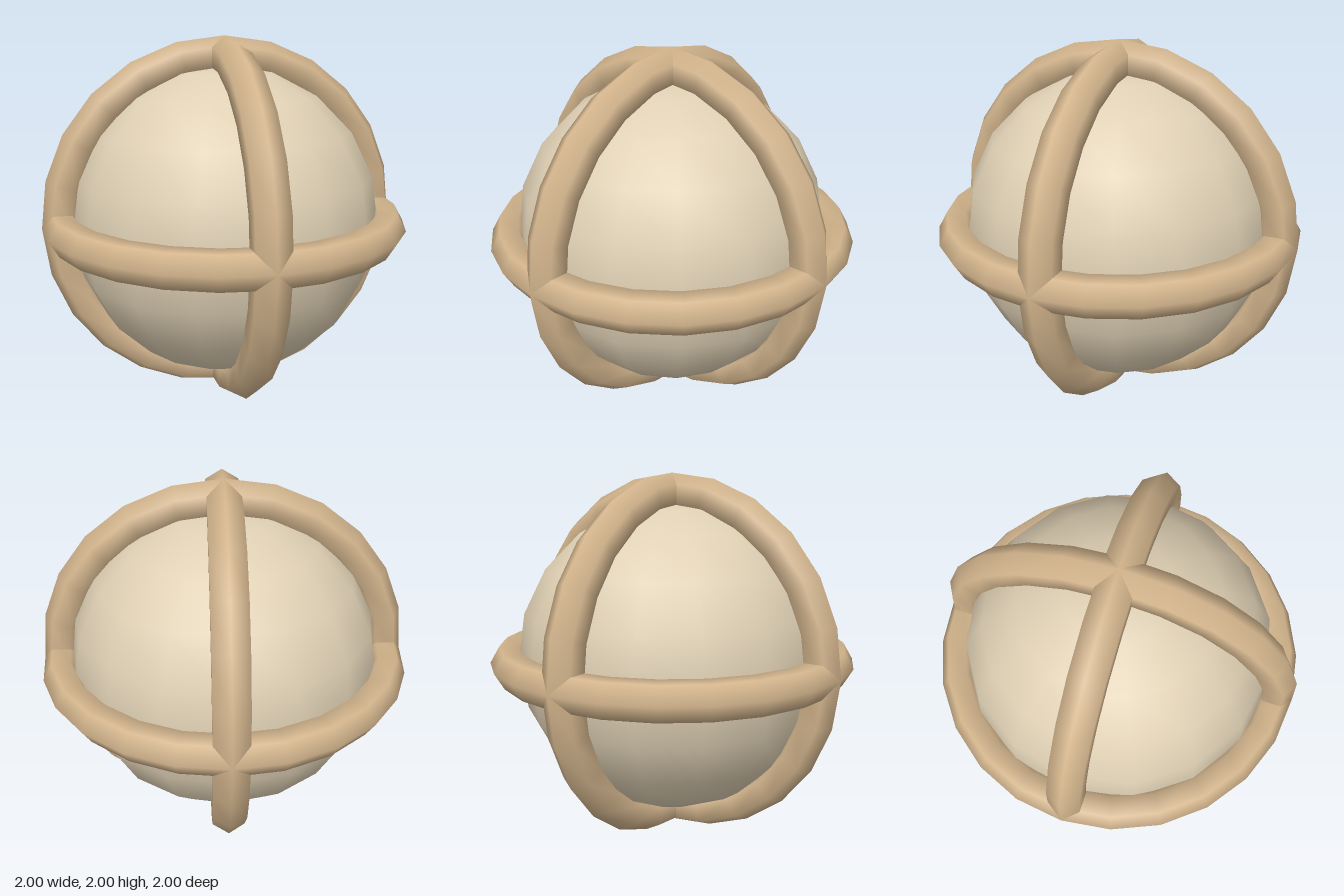
import * as THREE from 'three';

export function createModel() {
  const group = new THREE.Group();
  group.name = 'ringedBall';

  const ballMaterial = new THREE.MeshStandardMaterial({ color: 0xdfd0b4 });
  ballMaterial.name = 'pale cream';
  const ringMaterial = new THREE.MeshStandardMaterial({ color: 0xd2b48c });
  ringMaterial.name = 'tan';

  // Inner ball
  const ball = new THREE.Mesh(new THREE.SphereGeometry(0.85, 16, 10), ballMaterial);
  ball.name = 'ball';
  ball.position.y = 1;
  group.add(ball);

  // Three hoops, one in each main plane, each six-sided in section
  const hoop = new THREE.TorusGeometry(0.9, 0.1, 6, 24);
  const turns = {
    frontHoop: [0, 0, 0],
    sideHoop: [0, Math.PI / 2, 0],
    equatorHoop: [Math.PI / 2, 0, 0],
  };
  for (const [name, turn] of Object.entries(turns)) {
    const ring = new THREE.Mesh(hoop, ringMaterial);
    ring.name = name;
    ring.rotation.set(...turn);
    ring.position.y = 1;
    group.add(ring);
  }

  return group;
}
